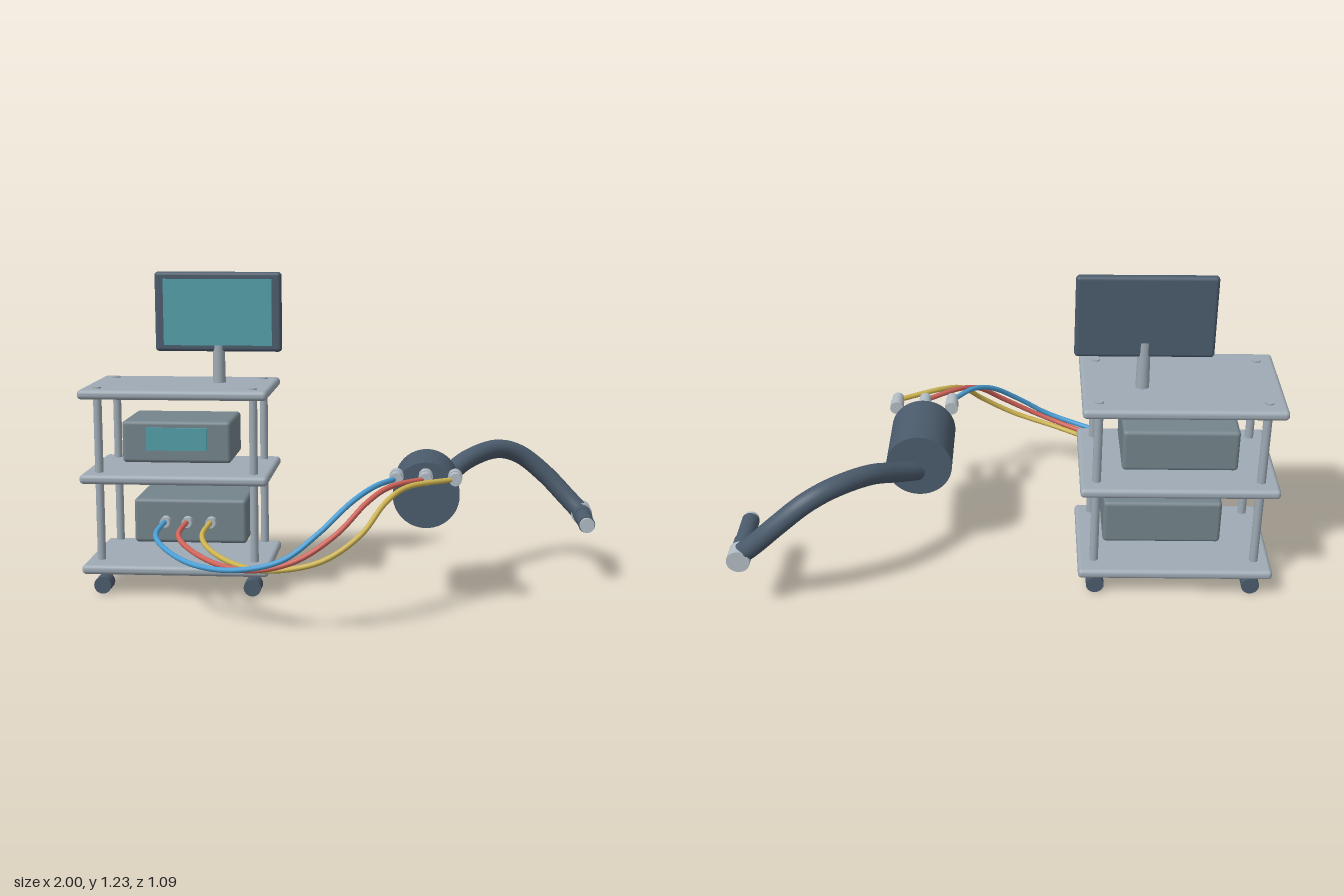
import * as THREE from 'three';
import { RoundedBoxGeometry } from 'three/addons/geometries/RoundedBoxGeometry.js';

const mat = (name, color) => {
  const m = new THREE.MeshStandardMaterial({ color });
  m.name = name;
  return m;
};

export function createModel() {
  const model = new THREE.Group();
  model.name = 'medicalCart';

  const frame = mat('frame grey', 0x9eaab4);
  const casing = mat('casing grey', 0x74848b);
  const dark = mat('slate', 0x4b5b6c);
  const glass = mat('screen teal', 0x529fa9);
  const silver = mat('connector silver', 0xb2bcc4);
  const blue = mat('cable blue', 0x4a9fd6);
  const red = mat('cable red', 0xd0645a);
  const yellow = mat('cable yellow', 0xccb350);

  const add = (parent, name, geometry, material, x = 0, y = 0, z = 0) => {
    const mesh = new THREE.Mesh(geometry, material);
    mesh.name = name;
    mesh.position.set(x, y, z);
    parent.add(mesh);
    return mesh;
  };
  const group = (name) => {
    const g = new THREE.Group();
    g.name = name;
    model.add(g);
    return g;
  };
  // Box given by its limits on each axis, with rounded edges
  const block = (parent, name, material, [x0, x1], [y0, y1], [z0, z1], r) =>
    add(parent, name, new RoundedBoxGeometry(x1 - x0, y1 - y0, z1 - z0, 3, r), material,
      (x0 + x1) / 2, (y0 + y1) / 2, (z0 + z1) / 2);
  // Thin plate facing the front
  const plate = (parent, name, [x0, x1], [y0, y1], [z0, z1]) =>
    add(parent, name, new THREE.BoxGeometry(x1 - x0, y1 - y0, z1 - z0), glass,
      (x0 + x1) / 2, (y0 + y1) / 2, (z0 + z1) / 2);
  // Cylinder lying along z from z0 to z1
  const barrel = (parent, name, material, x, y, z0, z1, r, sides = 32) =>
    add(parent, name, new THREE.CylinderGeometry(r, r, z1 - z0, sides).rotateX(Math.PI / 2),
      material, x, y, (z0 + z1) / 2);
  const tube = (parent, name, material, points, r, steps, sides) =>
    add(parent, name, new THREE.TubeGeometry(
      new THREE.CatmullRomCurve3(points.map((p) => new THREE.Vector3(...p))),
      steps, r, sides), material);

  // Cart: shelves, posts and casters
  const cart = group('cart');
  for (const y of [0.083, 0.437, 0.763]) {
    block(cart, 'shelf', frame, [-1, -0.277], [y, y + 0.037], [-0.388, 0.074], 0.016);
  }
  for (const side of [-1, 1]) {
    for (const z of [0.007, -0.32]) {
      add(cart, 'post', new THREE.CylinderGeometry(0.016, 0.016, 0.675, 24), frame,
        -0.636 + side * 0.299, 0.4675, z);
      barrel(cart, 'caster', dark, -0.635 + side * 0.292, 0.0335, z - 0.035, z + 0.035, 0.0335, 24);
    }
  }

  // Equipment units on the shelves
  const units = group('equipmentUnits');
  block(units, 'upperUnit', casing, [-0.85, -0.428], [0.507, 0.67], [-0.305, -0.02], 0.015);
  plate(units, 'upperUnitDisplay', [-0.755, -0.52], [0.557, 0.645], [-0.021, -0.012]);
  block(units, 'lowerUnit', casing, [-0.805, -0.368], [0.197, 0.37], [-0.308, 0.0], 0.015);

  // Monitor on its stand
  const monitor = group('monitor');
  add(monitor, 'monitorStand', new THREE.CylinderGeometry(0.022, 0.025, 0.185, 32), frame,
    -0.496, 0.8875, -0.198);
  block(monitor, 'monitorCase', dark, [-0.745, -0.248], [0.922, 1.232], [-0.215, -0.182], 0.014);
  plate(monitor, 'monitorScreen', [-0.71, -0.285], [0.947, 1.205], [-0.183, -0.1755]);

  // Cables share one side profile [z, y] and differ in x
  const cables = group('cables');
  const profile = [[0.02, 0.289], [0.15, 0.265], [0.28, 0.243], [0.417, 0.222], [0.5, 0.228],
    [0.535, 0.275], [0.5, 0.362], [0.417, 0.457], [0.335, 0.497], [0.22, 0.507]];
  const runs = [
    ['blueCable', blue, [-0.68, -0.692, -0.63, -0.5, -0.34, -0.17, -0.05, 0.06, 0.135, 0.213]],
    ['redCable', red, [-0.595, -0.606, -0.54, -0.405, -0.27, -0.12, 0.015, 0.115, 0.19, 0.32]],
    ['yellowCable', yellow, [-0.503, -0.516, -0.465, -0.34, -0.21, -0.03, 0.1, 0.18, 0.252, 0.428]],
  ];
  for (const [name, material, xs] of runs) {
    tube(cables, name, material, xs.map((x, i) => [x, profile[i][1], profile[i][0]]), 0.01, 80, 12);
    barrel(cables, 'socket', silver, xs[0], 0.285, -0.01, 0.036, 0.02, 24);
    barrel(cables, 'connectorBody', silver, xs[9], 0.507, 0.15, 0.195, 0.026, 24);
    barrel(cables, 'connectorNose', silver, xs[9], 0.507, 0.19, 0.238, 0.023, 24);
  }

  // Motor hub, curved arm and hand-held probe
  const arm = group('probeArm');
  barrel(arm, 'hub', dark, 0.322, 0.427, -0.152, 0.134, 0.124, 48);
  tube(arm, 'curvedArm', dark, [[0.33, 0.395, -0.13], [0.4, 0.435, -0.21], [0.487, 0.485, -0.31],
    [0.61, 0.505, -0.435], [0.7, 0.475, -0.487], [0.807, 0.39, -0.505], [0.9, 0.295, -0.488],
    [0.952, 0.242, -0.465]], 0.038, 64, 24);
  barrel(arm, 'probeJoint', silver, 0.957, 0.237, -0.515, -0.445, 0.043);
  barrel(arm, 'probeCollar', dark, 0.957, 0.237, -0.45, -0.385, 0.037);
  barrel(arm, 'probeHandle', dark, 0.957, 0.237, -0.39, -0.243, 0.033);
  barrel(arm, 'probeTip', silver, 0.957, 0.237, -0.245, -0.226, 0.029);

  return model;
}
